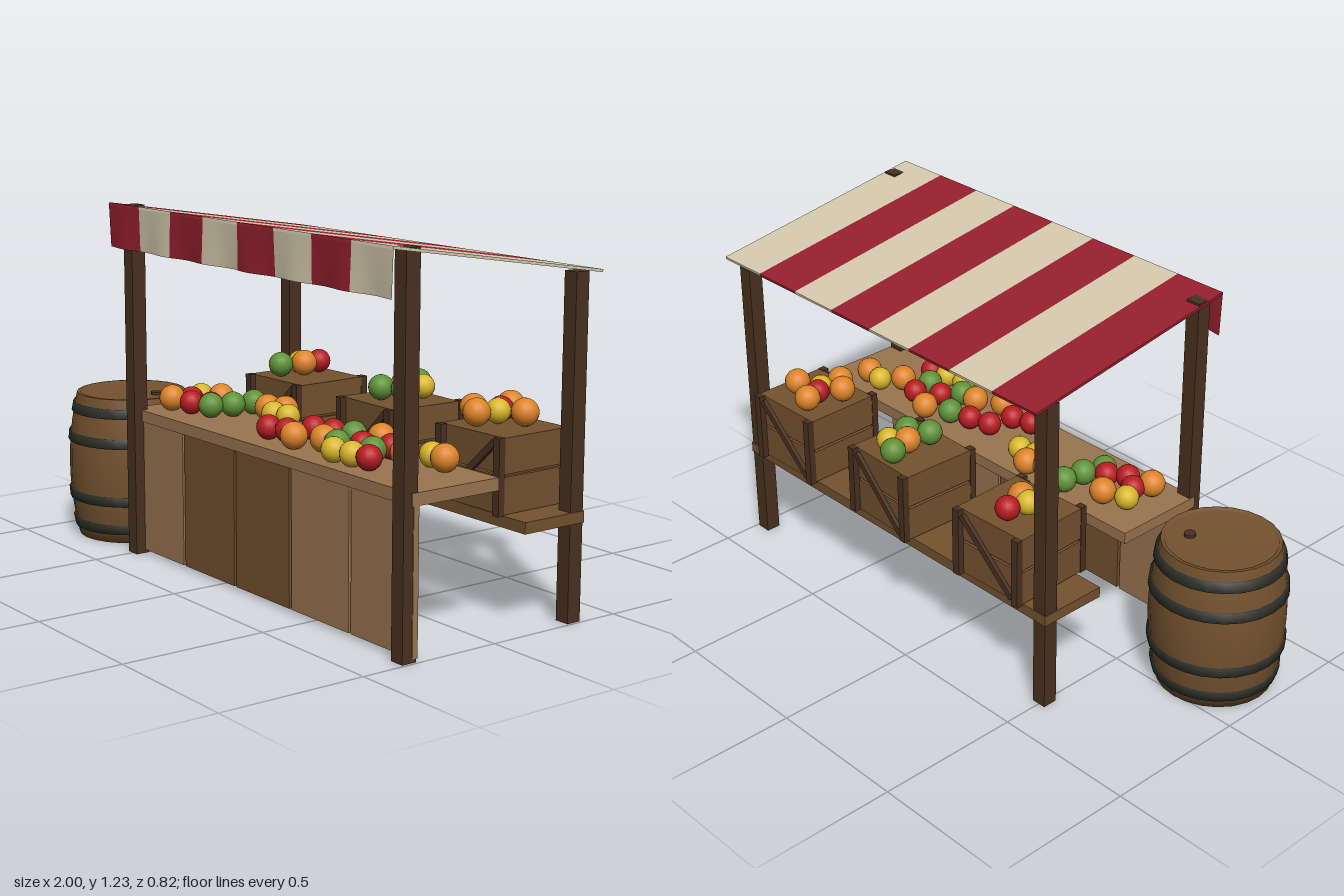
import * as THREE from 'three';

const mat = (name, color, extra = {}) => Object.assign(new THREE.MeshStandardMaterial({ color, ...extra }), { name });
const M = {
  dark: mat('dark timber', 0x4a3120),
  brown: mat('brown wood', 0x74522f),
  light: mat('light wood', 0x9a7550),
  iron: mat('barrel iron', 0x2e3028),
  crimson: mat('crimson cloth', 0x97202f, { side: THREE.DoubleSide }),
  cream: mat('cream cloth', 0xd6cbae, { side: THREE.DoubleSide }),
  r: mat('red fruit', 0xb81c22),
  o: mat('orange fruit', 0xdd842a),
  g: mat('green fruit', 0x5f9238),
  y: mat('yellow fruit', 0xd8b62a),
};

function add(parent, name, geo, material, x = 0, y = 0, z = 0) {
  const m = new THREE.Mesh(geo, material);
  m.name = name;
  m.position.set(x, y, z);
  parent.add(m);
  return m;
}
const box = (parent, name, material, w, h, d, x, y, z) =>
  add(parent, name, new THREE.BoxGeometry(w, h, d), material, x, y, z);

function group(parent, name) {
  const g = new THREE.Group();
  g.name = name;
  parent.add(g);
  return g;
}

// Striped sloping cloth with a rippled valance along the front
function buildCanopy(root) {
  const canopy = group(root, 'canopy');
  const w = 1.53 / 8;
  for (let i = 0; i < 8; i++) {
    const material = i % 2 ? M.cream : M.crimson;
    const x = -0.53 + w * (i + 0.5);
    const roof = box(canopy, 'roofStripe', material, w, 0.009, 0.825, x, 1.161, -0.003);
    roof.rotation.x = -0.156;
    const geo = new THREE.PlaneGeometry(w, 0.143, 8, 2);
    const p = geo.attributes.position;
    for (let k = 0; k < p.count; k++) {
      const drop = 0.5 - p.getY(k) / 0.143;
      p.setZ(k, drop * 0.007 * Math.sin((p.getX(k) + x) * 26));
    }
    geo.computeVertexNormals();
    add(canopy, 'valanceStripe', geo, material, x, 1.151, 0.404);
  }
}

// Bulging barrel with four hoops and a recessed lid
function buildBarrel(root) {
  const barrel = group(root, 'barrel');
  barrel.position.set(-0.77, 0, 0.182);
  const radius = (y) => 0.226 - 0.031 * ((y - 0.26) / 0.26) ** 2;
  const profile = [new THREE.Vector2(0, 0)];
  for (let i = 0; i <= 10; i++) profile.push(new THREE.Vector2(radius(i * 0.052), i * 0.052));
  add(barrel, 'staves', new THREE.LatheGeometry(profile, 24), M.brown);
  const top = [[0.195, 0.52], [0.183, 0.52], [0.18, 0.512], [0, 0.512]].map((a) => new THREE.Vector2(...a));
  add(barrel, 'lid', new THREE.LatheGeometry(top, 24), M.brown);
  for (const y of [0.05, 0.155, 0.365, 0.47]) {
    const a = radius(y - 0.017) + 0.007, b = radius(y + 0.017) + 0.007;
    const hoop = [[a - 0.015, -0.017], [a, -0.017], [b, 0.017], [b - 0.015, 0.017]];
    add(barrel, 'hoop', new THREE.LatheGeometry(hoop.map((q) => new THREE.Vector2(...q)), 24), M.iron, 0, y, 0);
  }
  add(barrel, 'bung', new THREE.CylinderGeometry(0.02, 0.02, 0.012, 12), M.dark, 0.09, 0.516, -0.05);
}

// Hollow slatted crate, braced on its front and back
function buildCrate(root, x, turn) {
  const crate = group(root, 'crate');
  crate.position.set(x, 0.357, -0.245);
  crate.rotation.y = turn;
  const W = 0.29, D = 0.27;
  box(crate, 'lid', M.brown, W, 0.014, D, 0, 0.236, 0);
  box(crate, 'base', M.brown, W, 0.014, D, 0, 0.01, 0);
  for (const y of [0.064, 0.186]) {
    for (const s of [-1, 1]) {
      box(crate, 'sideSlat', M.brown, 0.014, 0.113, D, s * (W / 2 - 0.007), y, 0);
      box(crate, 'endSlat', M.brown, W, 0.113, 0.014, 0, y, s * (D / 2 - 0.007));
    }
  }
  for (const s of [-1, 1]) {
    const z = s * (D / 2 + 0.01);
    for (const t of [-1, 1]) box(crate, 'cornerBatten', M.dark, 0.028, 0.245, 0.024, t * (W / 2 - 0.012), 0.122, z);
    const brace = box(crate, 'brace', M.dark, 0.022, 0.31, 0.014, 0, 0.122, z);
    brace.rotation.z = -0.82;
  }
}

// Fruit entries: colour key, x, z
const COUNTER_FRUIT = [
  ['o', -0.42, 0.23], ['y', -0.42, 0.11], ['r', -0.39, 0.17], ['r', -0.33, 0.21], ['r', -0.27, 0.17],
  ['o', -0.34, 0.08], ['g', -0.21, 0.12], ['g', -0.2, 0.04], ['g', -0.24, 0.19],
  ['o', -0.09, 0.06], ['y', -0.015, 0.09], ['y', 0.055, 0.08], ['o', -0.03, 0.03],
  ['r', 0.155, 0.23], ['r', 0.23, 0.21], ['o', 0.32, 0.25], ['r', 0.25, 0.12], ['r', 0.33, 0.1],
  ['o', 0.41, 0.2], ['g', 0.41, 0.08], ['g', 0.48, 0.2], ['y', 0.54, 0.26], ['r', 0.53, 0.14],
  ['o', 0.5, 0.04], ['y', 0.62, 0.25], ['r', 0.69, 0.24], ['r', 0.61, 0.09], ['o', 0.71, 0.12],
  ['g', 0.62, 0.17], ['y', 0.77, 0.06], ['o', 0.84, 0.07],
];
const CRATE_FRUIT = [
  ['g', -0.32, -0.16], ['o', -0.29, -0.24], ['r', -0.31, -0.32], ['y', -0.33, -0.25],
  ['g', 0.22, -0.18], ['g', 0.29, -0.22], ['o', 0.23, -0.27], ['y', 0.28, -0.31], ['g', 0.21, -0.35],
  ['o', 0.66, -0.2], ['o', 0.72, -0.16], ['y', 0.73, -0.24], ['r', 0.71, -0.27], ['o', 0.81, -0.28], ['o', 0.69, -0.33],
];

function buildFruit(root, name, list, floor) {
  const pile = group(root, name);
  const size = { r: 0.041, o: 0.045, g: 0.043, y: 0.041 };
  for (const [key, x, z] of list) {
    const r = size[key];
    add(pile, 'fruit', new THREE.SphereGeometry(r, 16, 12), M[key], x, floor + r, z);
  }
}

export function createModel() {
  const root = new THREE.Group();
  root.name = 'marketStall';

  // Tall front posts and shorter back posts
  for (const x of [-0.499, 0.966]) {
    box(root, 'frontPost', M.dark, 0.052, 1.22, 0.052, x, 0.61, 0.325);
    box(root, 'backPost', M.dark, 0.052, 1.1, 0.052, x, 0.55, -0.335);
  }

  // Counter top, front boards and rear shelf
  box(root, 'counterTop', M.light, 1.524, 0.04, 0.332, 0.233, 0.491, 0.156);
  [M.light, M.brown, M.brown, M.light, M.light].forEach((m, i) =>
    box(root, 'frontBoard', m, 0.294, 0.46, 0.02, -0.373 + i * 0.305, 0.242, 0.305));
  box(root, 'rearShelf', M.brown, 1.524, 0.037, 0.245, 0.233, 0.337, -0.242);

  buildCrate(root, -0.285, 0.03);
  buildCrate(root, 0.24, -0.03);
  buildCrate(root, 0.755, 0.02);
  buildFruit(root, 'counterFruit', COUNTER_FRUIT, 0.508);
  buildFruit(root, 'crateFruit', CRATE_FRUIT, 0.6);
  buildBarrel(root);
  buildCanopy(root);
  return root;
}
